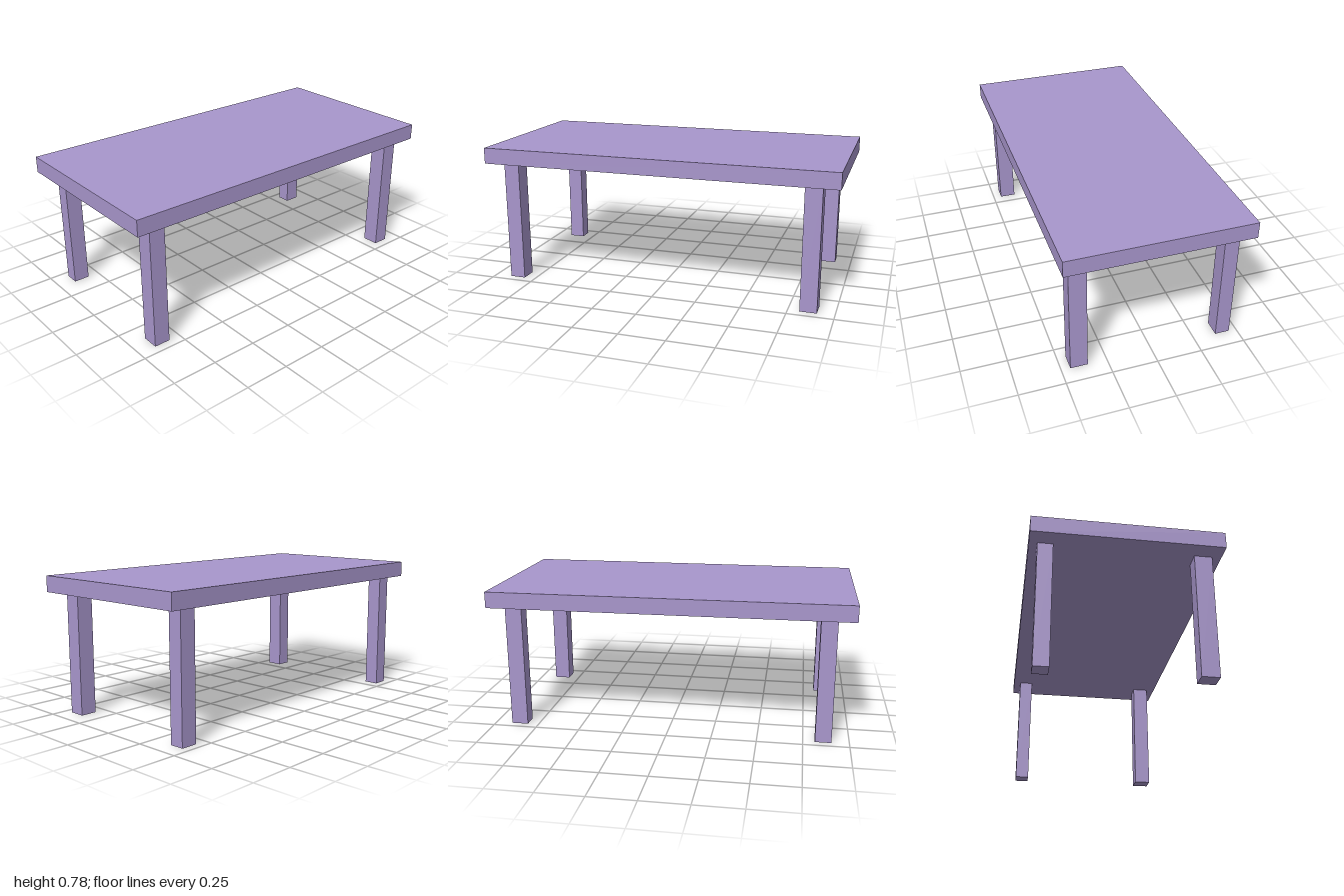
import * as THREE from 'three';

export function createModel() {
  const table = new THREE.Group();
  table.name = 'table';
  const lilac = new THREE.MeshStandardMaterial({ color: 0xa896cc });
  lilac.name = 'lilac';

  // Box given by its extents along each axis
  const addBox = (name, [x0, x1], [y0, y1], [z0, z1]) => {
    const mesh = new THREE.Mesh(new THREE.BoxGeometry(x1 - x0, y1 - y0, z1 - z0), lilac);
    mesh.position.set((x0 + x1) / 2, (y0 + y1) / 2, (z0 + z1) / 2);
    mesh.name = name;
    table.add(mesh);
  };

  // Table top
  addBox('tableTop', [-0.5, 0.5], [0.689, 0.779], [-1, 1]);

  // Legs: the left pair is slightly wider than the right pair
  const sides = { Left: [0.356, 0.451], Right: [-0.457, -0.376] };
  const ends = { front: [0.815, 0.904], back: [-0.906, -0.813] };
  for (const [side, xs] of Object.entries(sides)) {
    for (const [end, zs] of Object.entries(ends)) {
      addBox(`${end}${side}Leg`, xs, [0, 0.689], zs);
    }
  }
  return table;
}
